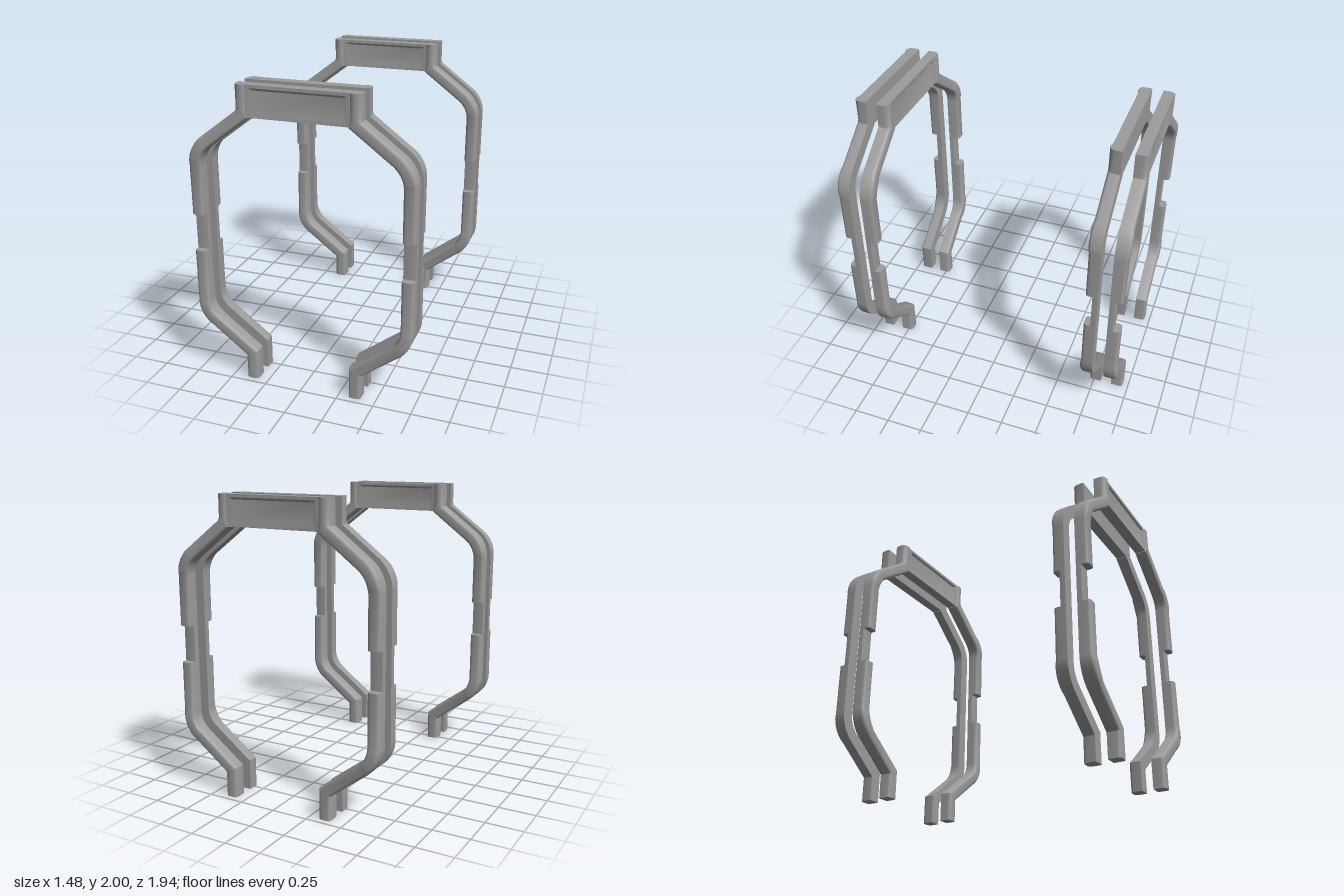
import * as THREE from 'three';
import { toCreasedNormals } from 'three/addons/utils/BufferGeometryUtils.js';

const WIDTH = 0.082, DEPTH = 0.083, BULGE = 0.007, NOTCH = 0.036;
const material = new THREE.MeshStandardMaterial({ color: 0x9c9c9c });

// Skin a list of equal-length closed sections and cap both ends.
function loft(sections) {
  const n = sections[0].length, last = (sections.length - 1) * n, index = [];
  for (let i = 0; i < sections.length - 1; i++) {
    for (let j = 0; j < n; j++) {
      const a = i * n + j, b = i * n + (j + 1) % n;
      index.push(a, b, b + n, a, b + n, a + n);
    }
  }
  for (let j = 1; j < n - 1; j++) {
    index.push(0, j + 1, j, last, last + j, last + j + 1);
  }
  const geometry = new THREE.BufferGeometry();
  geometry.setAttribute('position', new THREE.Float32BufferAttribute(sections.flat(2), 3));
  geometry.setIndex(index);
  return toCreasedNormals(geometry, 0.6);
}

// Bar section as [across, z]: flat back, rounded front edges.
function barSection(depth, radius) {
  const h = WIDTH / 2, left = [[-h, 0]];
  for (let k = 0; k <= 3; k++) {
    const a = k * Math.PI / 6;
    left.push([-h + radius * (1 - Math.cos(a)), depth - radius * (1 - Math.sin(a))]);
  }
  return [...left, ...left.map(([u, z]) => [-u, z]).reverse()];
}

// Sweep the bar along stations {x, y, d, r} with mitred bends.
function sweepBar(path) {
  const direction = (a, b) => new THREE.Vector2(b.x - a.x, b.y - a.y).normalize();
  return loft(path.map((p, i) => {
    const before = i > 0 ? direction(path[i - 1], p) : direction(p, path[1]);
    const after = i < path.length - 1 ? direction(p, path[i + 1]) : before;
    const t = before.clone().add(after).divideScalar(1 + before.dot(after));
    return barSection(p.d, p.r).map(([u, z]) => [p.x + u * t.y, p.y - u * t.x, z]);
  }));
}

// Left arm from foot to top: leg, diagonal, swollen bend, notched upright, and back in.
function armPath() {
  const path = [];
  const add = (x, y, d = DEPTH, r = 0.02) => path.push({ x, y, d, r });
  const slope = Math.atan2(4, 3), radius = 0.19, cx = 0.507, step = 0.001;
  const bend = (cy, from, to) => {
    for (let k = 0; k <= 10; k++) {
      const a = from + (to - from) * k / 10;
      const swell = BULGE * Math.sqrt(Math.max(0, Math.sin(Math.PI * k / 10)));
      add(cx + radius * Math.cos(a), cy + radius * Math.sin(a), DEPTH + swell);
    }
  };
  add(0.36, 0);
  add(0.36, 0.185);
  bend(0.533, -slope, 0);
  const x = cx + radius;
  add(x, 0.88);
  add(x, 0.88 + step, NOTCH, 0.001);
  add(x, 1.13 - step, NOTCH, 0.001);
  add(x, 1.13);
  bend(1.467, 0, slope);
  add(0.36, 1.815);
  add(0.36, 1.85, DEPTH, 0.035);
  add(0.36, 2, DEPTH, 0.035);
  return path;
}

// Top panel with a shallow, sloped recess.
function topPanel() {
  const ring = (hx, y0, y1, z) => [[-hx, y0, z], [hx, y0, z], [hx, y1, z], [-hx, y1, z]];
  return loft([
    ring(0.33, 1.8, 2, 0),
    ring(0.33, 1.8, 2, 0.074),
    ring(0.312, 1.804, 1.98, 0.074),
    ring(0.286, 1.83, 1.966, 0.064),
  ]);
}

export function createModel() {
  const model = new THREE.Group();
  const left = armPath();
  const right = left.map(p => ({ ...p, x: -p.x })).reverse();
  const parts = [
    ['leftArm', sweepBar(left)],
    ['rightArm', sweepBar(right)],
    ['topPanel', topPanel()],
  ];

  // Two clamps, each of two half rings placed back to back.
  for (const [end, z] of [['front', 0.84], ['back', -0.84]]) {
    const clamp = new THREE.Group();
    clamp.name = `${end}Clamp`;
    for (const side of [1, -1]) {
      const half = new THREE.Group();
      half.name = side > 0 ? 'forwardHalfRing' : 'rearHalfRing';
      for (const [name, geometry] of parts) {
        const mesh = new THREE.Mesh(geometry, material);
        mesh.name = name;
        half.add(mesh);
      }
      half.position.z = z + side * 0.038;
      half.rotation.y = side > 0 ? 0 : Math.PI;
      clamp.add(half);
    }
    model.add(clamp);
  }
  return model;
}
